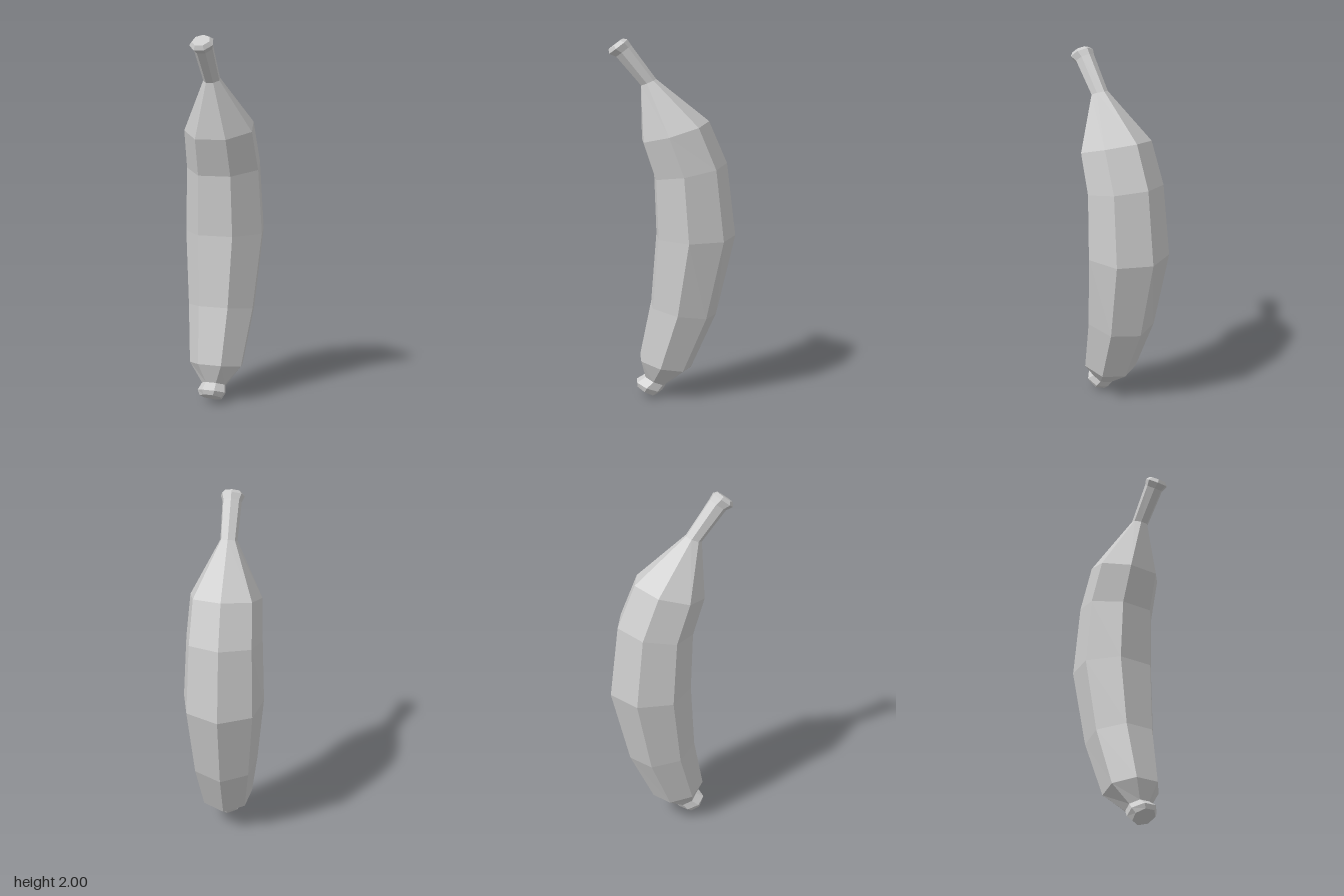
import * as THREE from 'three';

const SIDES = 7;

// Each ring: [back z, back y, front z, front y]; a regular heptagon with a point at the back.
const blossomRings = [
  [0.10, 0.0, 0.205, 0.058],
  [0.065, 0.027, 0.207, 0.085],
  [0.042, 0.063, 0.16, 0.115],
];
const fruitRings = [
  blossomRings[2],
  [-0.10, 0.16, 0.185, 0.22],
  [-0.24, 0.47, 0.12, 0.53],
  [-0.345, 0.92, 0.088, 0.92],
  [-0.295, 1.325, 0.10, 1.25],
  [-0.195, 1.556, 0.167, 1.452],
  [0.093, 1.785, 0.175, 1.752],
];
const stemRings = [
  fruitRings[6],
  [0.226, 1.965, 0.307, 1.905],
  [0.245, 1.995, 0.345, 1.92],
  [0.27, 2.0, 0.345, 1.945],
];

function ringPoints([bz, by, fz, fy]) {
  const length = Math.hypot(bz - fz, by - fy);
  const uz = (bz - fz) / length, uy = (by - fy) / length;
  const r = length / (1 + Math.cos(Math.PI / SIDES));
  return Array.from({ length: SIDES }, (_, i) => {
    const a = (i / SIDES) * Math.PI * 2;
    const d = r * (Math.cos(a) - 1);
    return [r * Math.sin(a), by + uy * d, bz + uz * d];
  });
}

// Skin a run of rings, with optional end caps, as flat facets.
function loft(rings, capBottom, capTop) {
  const index = [];
  for (let k = 0; k < rings.length - 1; k++) {
    for (let i = 0; i < SIDES; i++) {
      const a = k * SIDES + i, b = k * SIDES + (i + 1) % SIDES;
      index.push(a, a + SIDES, b + SIDES, a, b + SIDES, b);
    }
  }
  const top = (rings.length - 1) * SIDES;
  for (let i = 1; i < SIDES - 1; i++) {
    if (capBottom) index.push(0, i, i + 1);
    if (capTop) index.push(top, top + i + 1, top + i);
  }
  const geometry = new THREE.BufferGeometry();
  geometry.setAttribute('position', new THREE.Float32BufferAttribute(rings.flatMap(ringPoints).flat(), 3));
  geometry.setIndex(index);
  const flat = geometry.toNonIndexed();
  flat.computeVertexNormals();
  return flat;
}

export function createModel() {
  const group = new THREE.Group();
  group.name = 'banana';
  const peel = new THREE.MeshStandardMaterial({ color: 0xcccccc });
  peel.name = 'pale grey peel';
  const add = (name, geometry) => {
    const mesh = new THREE.Mesh(geometry, peel);
    mesh.name = name;
    group.add(mesh);
  };
  add('blossomEnd', loft(blossomRings, true, false));
  add('fruit', loft(fruitRings, false, false));
  add('stem', loft(stemRings, false, true));
  return group;
}
